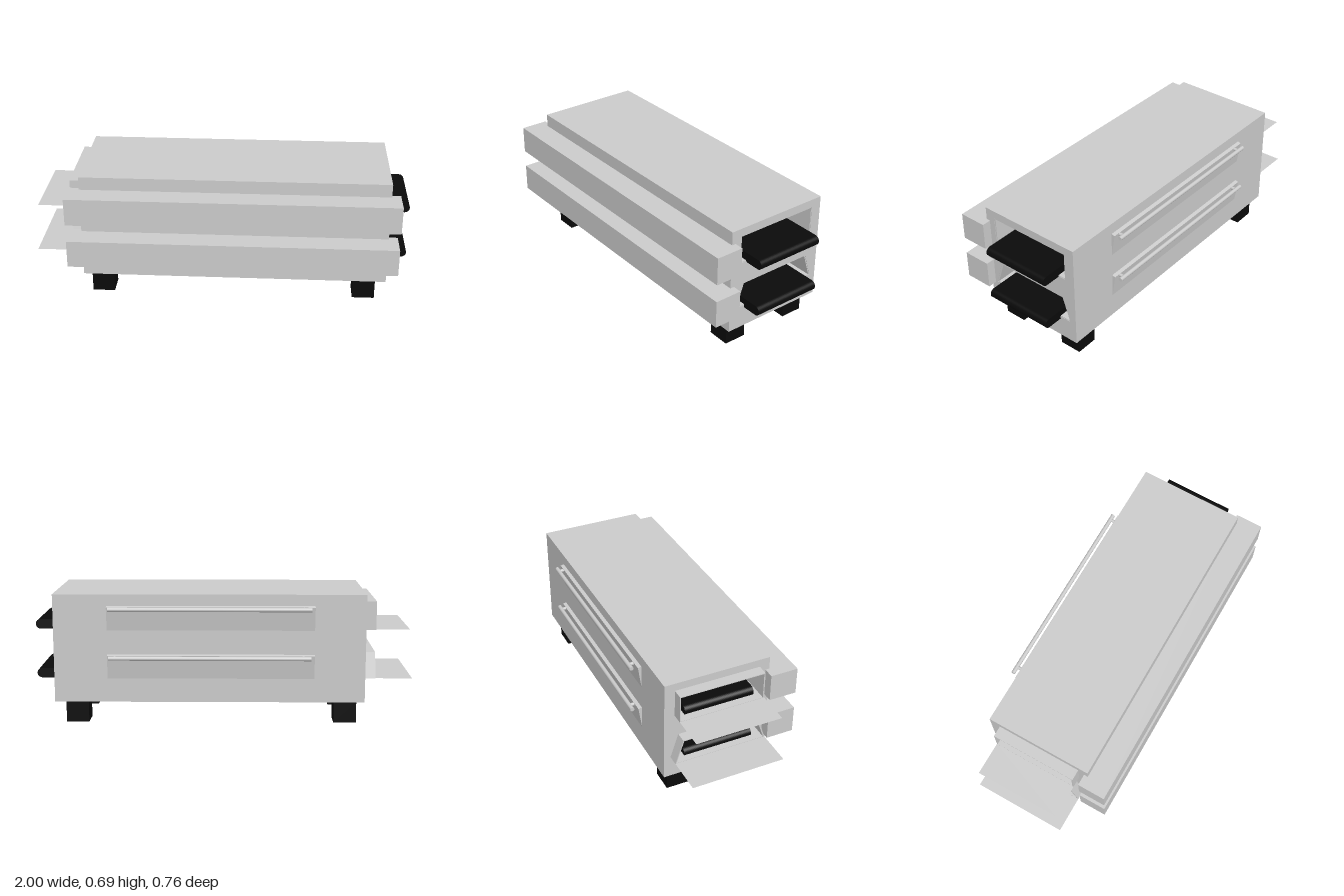
import * as THREE from 'three';

const grey = new THREE.MeshStandardMaterial({ color: 0xcccccc, flatShading: true });
const sheetGrey = new THREE.MeshStandardMaterial({ color: 0xcccccc, side: THREE.DoubleSide });
const smoothGrey = new THREE.MeshStandardMaterial({ color: 0xcccccc });
const black = new THREE.MeshStandardMaterial({ color: 0x0a0a0a });

const toPoints = (list) => list.map(([z, y]) => new THREE.Vector2(-z, y));

// Extrudes a [z, y] outline along x from x0 to x1
function extrudeX(name, outline, holes, x0, x1, material) {
  const shape = new THREE.Shape(toPoints(outline));
  holes.forEach((h) => shape.holes.push(new THREE.Path(toPoints(h))));
  const geo = new THREE.ExtrudeGeometry(shape, { depth: x1 - x0, bevelEnabled: false });
  geo.rotateY(Math.PI / 2).translate(x0, 0, 0);
  const mesh = new THREE.Mesh(geo, material);
  mesh.name = name;
  return mesh;
}

// Box given by its limits on each axis
function box(name, [x0, x1], [y0, y1], [z0, z1], material) {
  const mesh = new THREE.Mesh(new THREE.BoxGeometry(x1 - x0, y1 - y0, z1 - z0), material);
  mesh.position.set((x0 + x1) / 2, (y0 + y1) / 2, (z0 + z1) / 2);
  mesh.name = name;
  return mesh;
}

// Flat belt with rounded ends
function conveyor(y) {
  const r = 0.026, x0 = -0.77, x1 = 1;
  const shape = new THREE.Shape();
  shape.absarc(x1 - r, y, r, -Math.PI / 2, Math.PI / 2, false);
  shape.absarc(x0 + r, y, r, Math.PI / 2, Math.PI * 1.5, false);
  const geo = new THREE.ExtrudeGeometry(shape, { depth: 0.379, bevelEnabled: false, curveSegments: 12 });
  geo.translate(0, 0, -0.222);
  const mesh = new THREE.Mesh(geo, black);
  mesh.name = 'conveyorBelt';
  return mesh;
}

// Long wedge with a round bar held on two posts
function backHandle(top) {
  const group = new THREE.Group();
  group.name = 'backHandle';
  group.add(extrudeX('handleWedge',
    [[-0.323, top], [-0.323, top - 0.13], [-0.342, top - 0.005]], [], -0.48, 0.61, grey));
  const y = top - 0.014;
  const bar = new THREE.Mesh(new THREE.CylinderGeometry(0.011, 0.011, 1.06, 16), smoothGrey);
  bar.rotation.z = Math.PI / 2;
  bar.position.set(0.07, y, -0.367);
  bar.name = 'handleBar';
  group.add(bar);
  for (const x of [-0.42, 0.57]) {
    const post = new THREE.Mesh(new THREE.CylinderGeometry(0.009, 0.009, 0.032, 12), smoothGrey);
    post.rotation.x = Math.PI / 2;
    post.position.set(x, y, -0.351);
    post.name = 'handlePost';
    group.add(post);
  }
  return group;
}

export function createModel() {
  const model = new THREE.Group();
  model.name = 'twoDeckConveyorOven';

  // Tunnel openings: outer and inner outlines, and the outlet tray under each
  const decks = [
    {
      outer: [[0.197, 0.5], [-0.267, 0.5], [-0.267, 0.652], [0.197, 0.652]],
      inner: [[0.19, 0.504], [-0.263, 0.504], [-0.263, 0.648], [0.19, 0.648]],
      belt: 0.521, box: 0.475, handle: 0.635,
      tray: { y: 0.502, end: -0.985, z0: -0.267, z1: 0.197 },
    },
    {
      outer: [[0.215, 0.242], [-0.288, 0.242], [-0.246, 0.377], [0.174, 0.377]],
      inner: [[0.207, 0.246], [-0.282, 0.246], [-0.241, 0.373], [0.164, 0.373]],
      belt: 0.254, box: 0.23, handle: 0.377,
      tray: { y: 0.244, end: -1, z0: -0.288, z1: 0.215 },
    },
  ];

  // Cabinet with both tunnels running through it
  model.add(extrudeX('cabinet',
    [[0.252, 0.12], [-0.323, 0.12], [-0.323, 0.695], [0.252, 0.695]],
    decks.map((d) => d.outer), -0.748, 0.892, grey));

  for (const d of decks) {
    model.add(extrudeX('tunnelSleeve', d.outer, [d.inner], -0.806, 0.89, grey));
    model.add(conveyor(d.belt));
    model.add(box('frontControlBox', [-0.808, 0.94], [d.box, d.box + 0.149], [0.23, 0.379], grey));
    model.add(backHandle(d.handle));

    // Thin outlet tray
    const { y, end, z0, z1 } = d.tray;
    const tray = new THREE.Mesh(new THREE.PlaneGeometry(-0.806 - end, z1 - z0), sheetGrey);
    tray.rotation.x = -Math.PI / 2;
    tray.position.set((end - 0.806) / 2, y, (z0 + z1) / 2);
    tray.name = 'outletTray';
    model.add(tray);
  }

  // Feet
  for (const x of [-0.708, 0.718]) {
    for (const z of [0.1, -0.288]) {
      model.add(box('foot', [x, x + 0.12], [0, 0.12], [z, z + 0.12], black));
    }
  }
  return model;
}
